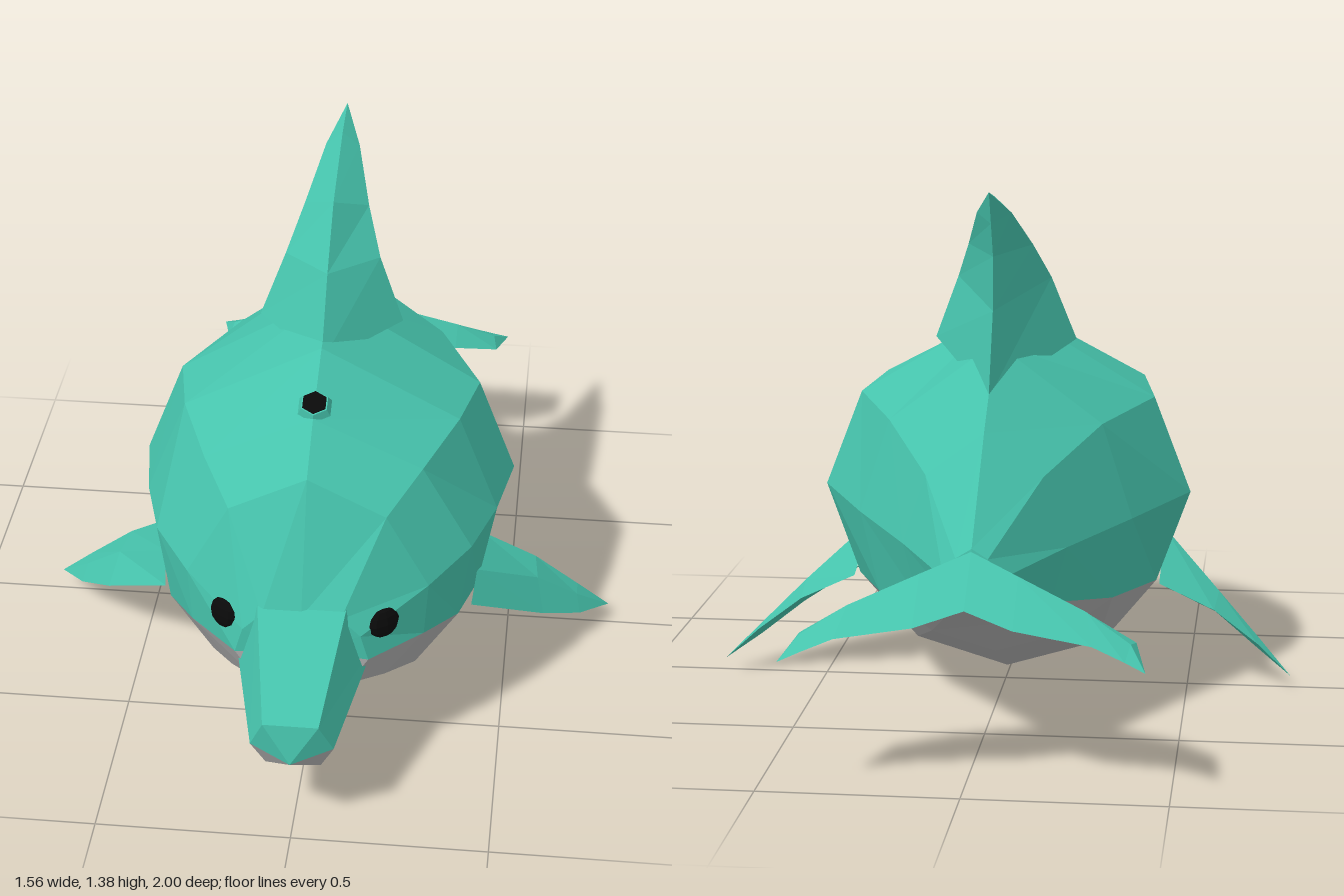
import * as THREE from 'three';

const skin = new THREE.MeshStandardMaterial({ color: 0x46c3ac, flatShading: true });
skin.name = 'teal skin';
const belly = new THREE.MeshStandardMaterial({ color: 0xb0b0b0, flatShading: true });
belly.name = 'grey belly';
const black = new THREE.MeshStandardMaterial({ color: 0x0a0a0a, flatShading: true });
black.name = 'black';

// Skin a list of equal-length rows of [x, y, z] points with faceted triangles
function loft(rows) {
  const pos = [];
  const same = (p, q) => p.every((v, i) => Math.abs(v - q[i]) < 1e-6);
  const tri = (a, b, c) => {
    if (!same(a, b) && !same(b, c) && !same(a, c)) pos.push(...a, ...b, ...c);
  };
  for (let i = 0; i < rows.length - 1; i++) {
    for (let j = 0; j < rows[i].length - 1; j++) {
      const a = rows[i][j], b = rows[i][j + 1], c = rows[i + 1][j], d = rows[i + 1][j + 1];
      tri(a, c, b);
      tri(b, c, d);
    }
  }
  const geo = new THREE.BufferGeometry();
  geo.setAttribute('position', new THREE.Float32BufferAttribute(pos, 3));
  geo.computeVertexNormals();
  return geo;
}

const flip = ([x, y, z]) => [-x, y, z];
const mirrorRows = rows => rows.map(r => r.map(flip).reverse());
const closed = r => [...r, r[0]];

export function createModel() {
  const model = new THREE.Group();
  const add = (name, geo, mat) => {
    const mesh = new THREE.Mesh(geo, mat);
    mesh.name = name;
    model.add(mesh);
    return mesh;
  };

  // Body stations: z, top y, shoulder x y, side x y, colour line x y, lower x y, bottom y
  const stations = [
    [0.74, 0.50, 0.10, 0.50, 0.15, 0.45, 0.17, 0.38, 0.12, 0.30, 0.25],
    [0.60, 0.82, 0.20, 0.72, 0.31, 0.52, 0.30, 0.37, 0.20, 0.23, 0.19],
    [0.46, 0.91, 0.28, 0.78, 0.41, 0.55, 0.38, 0.335, 0.27, 0.17, 0.11],
    [0.26, 1.00, 0.36, 0.81, 0.465, 0.54, 0.42, 0.295, 0.27, 0.065, 0.0],
    [0.04, 1.03, 0.40, 0.79, 0.50, 0.53, 0.41, 0.28, 0.25, 0.10, 0.025],
    [-0.25, 0.98, 0.28, 0.77, 0.36, 0.52, 0.31, 0.305, 0.17, 0.20, 0.15],
    [-0.50, 0.79, 0.15, 0.68, 0.21, 0.50, 0.17, 0.355, 0.10, 0.31, 0.29],
    [-0.76, 0.555, 0.04, 0.53, 0.07, 0.48, 0.05, 0.42, 0.03, 0.415, 0.41],
  ];
  const back = [], under = [];
  for (const [z, top, ux, uy, sx, sy, lx, ly, wx, wy, bot] of stations) {
    const half = [[lx, ly, z], [sx, sy, z], [ux, uy, z]];
    back.push([...half, [0, top, z], ...half.map(flip).reverse()]);
    under.push([[-lx, ly, z], [-wx, wy, z], [0, bot, z], [wx, wy, z], [lx, ly, z]]);
  }
  const nose = [0, 0.4, 0.75], stern = [0, 0.46, -0.78];
  for (const rows of [back, under]) {
    rows.unshift(rows[0].map(() => nose));
    rows.push(rows[0].map(() => stern));
  }
  add('back', loft(back), skin);
  add('belly', loft(under), belly);

  // Beak: upper and lower jaws closing on one point at the tip
  const tip = [0, 0.237, 1.0];
  const upper = [
    [[0.18, 0.375, 0.66], [0.115, 0.53, 0.71]],
    [[0.105, 0.26, 0.955], [0.07, 0.342, 0.98]],
  ].map(r => [...r, ...r.map(flip).reverse()]);
  upper.unshift(upper[1].map(() => tip));
  add('upperBeak', loft([upper[0], upper[2], upper[1]]), skin);
  const lower = [
    [[-0.18, 0.375, 0.66], [-0.12, 0.20, 0.60]],
    [[-0.105, 0.26, 0.955], [-0.07, 0.185, 0.93]],
  ].map(r => [...r, ...r.map(flip).reverse()]);
  add('lowerBeak', loft([lower[1].map(() => tip), lower[1], lower[0]]), belly);

  // Dorsal fin: leading edge y z, flank x y z, trailing edge y z
  const fin = [
    [0.96, 0.27, 0.19, 0.95, 0.01, 0.86, -0.40],
    [1.14, 0.12, 0.125, 1.12, -0.02, 1.07, -0.305],
    [1.27, -0.03, 0.085, 1.22, -0.12, 1.21, -0.30],
    [1.36, -0.26, 0.045, 1.32, -0.27, 1.30, -0.345],
    [1.385, -0.39, 0, 1.385, -0.39, 1.385, -0.39],
  ].map(([ly, lz, x, y, z, ty, tz]) => closed([[0, ly, lz], [-x, y, z], [0, ty, tz], [x, y, z]]));
  add('dorsalFin', loft(fin), skin);

  // Flippers: each ring is leading edge, upper ridge, trailing edge, underside
  const flipper = [
    [[0.41, 0.30, 0.37], [0.42, 0.365, 0.30], [0.42, 0.28, 0.0], [0.40, 0.28, 0.2]],
    [[0.60, 0.165, 0.205], [0.58, 0.23, 0.13], [0.57, 0.21, 0.0], [0.58, 0.175, 0.1]],
    [[0.70, 0.09, 0.09], [0.69, 0.125, 0.05], [0.69, 0.12, -0.008], [0.69, 0.095, 0.04]],
    Array(4).fill([0.78, 0.04, -0.03]),
  ].map(closed);
  add('leftFlipper', loft(flipper), skin);
  add('rightFlipper', loft(mirrorRows(flipper)), skin);

  // Tail flukes, drooping towards their tips
  const fluke = [
    [[0, 0.50, -0.69], [0, 0.55, -0.77], [0, 0.44, -0.915], [0, 0.41, -0.78]],
    [[0.10, 0.45, -0.72], [0.12, 0.505, -0.82], [0.12, 0.405, -0.953], [0.12, 0.395, -0.82]],
    [[0.29, 0.405, -0.78], [0.29, 0.435, -0.87], [0.31, 0.375, -0.962], [0.29, 0.37, -0.87]],
    [[0.41, 0.36, -0.86], [0.40, 0.372, -0.92], [0.39, 0.345, -0.983], [0.40, 0.338, -0.92]],
    Array(4).fill([0.44, 0.325, -1.0]),
  ].map(closed);
  add('leftFluke', loft(fluke), skin);
  add('rightFluke', loft(mirrorRows(fluke)), skin);

  // Eyes: flattened faceted discs set into the head
  for (const s of [1, -1]) {
    const eye = add(s > 0 ? 'leftEye' : 'rightEye', new THREE.SphereGeometry(1, 8, 6), black);
    eye.scale.set(0.046, 0.04, 0.018);
    eye.position.set(s * 0.205, 0.462, 0.69);
    eye.lookAt(s * 0.845, 0.56, 1.455);
  }

  // Blowhole: raised hexagonal rim around a dark plate
  const blowhole = new THREE.Group();
  blowhole.name = 'blowhole';
  const rim = new THREE.Mesh(new THREE.CylinderGeometry(0.038, 0.048, 0.02, 6), skin);
  rim.name = 'blowholeRim';
  const hole = new THREE.Mesh(new THREE.CylinderGeometry(0.034, 0.034, 0.006, 6), black);
  hole.name = 'blowholeOpening';
  hole.position.y = 0.01;
  blowhole.add(rim, hole);
  blowhole.position.set(0, 0.928, 0.42);
  blowhole.rotation.x = 0.43;
  model.add(blowhole);

  return model;
}
